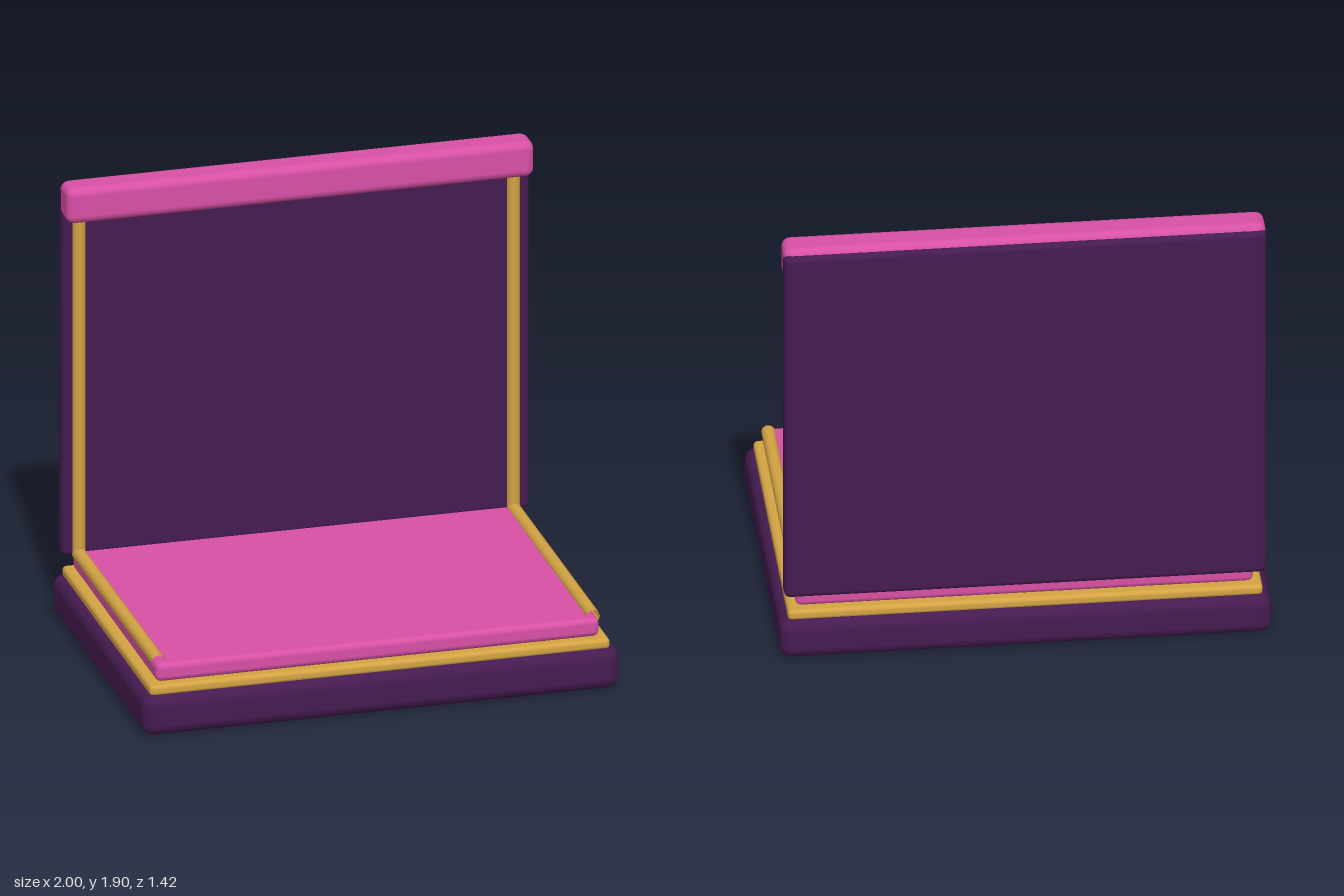
import * as THREE from 'three';
import { RoundedBoxGeometry } from 'three/addons/geometries/RoundedBoxGeometry.js';

const purple = new THREE.MeshStandardMaterial({ color: 0x451b50 });
const pink = new THREE.MeshStandardMaterial({ color: 0xd850a5 });
const gold = new THREE.MeshStandardMaterial({ color: 0xd4a443, side: THREE.DoubleSide });

// Rounded slab given by its half width and its y and z ranges
function slab(name, halfX, [y0, y1], [z0, z1], radius, material) {
  const geometry = new RoundedBoxGeometry(halfX * 2, y1 - y0, z1 - z0, 2, radius);
  const mesh = new THREE.Mesh(geometry, material);
  mesh.position.set(0, (y0 + y1) / 2, (z0 + z1) / 2);
  mesh.name = name;
  return mesh;
}

// Thin open rod between two points
function rod(name, a, b) {
  const path = new THREE.LineCurve3(new THREE.Vector3(...a), new THREE.Vector3(...b));
  const mesh = new THREE.Mesh(new THREE.TubeGeometry(path, 1, 0.028, 10), gold);
  mesh.name = name;
  return mesh;
}

export function createModel() {
  const model = new THREE.Group();
  model.name = 'stage';

  // Stepped platform
  model.add(
    slab('base', 1, [0, 0.175], [-0.71, 0.71], 0.05, purple),
    slab('baseTrim', 0.965, [0.165, 0.212], [-0.675, 0.675], 0.018, gold),
    slab('floor', 0.93, [0.21, 0.29], [-0.64, 0.64], 0.025, pink),
  );

  // Back wall and the valance along its top
  model.add(
    slab('backPanel', 0.98, [0.273, 1.88], [-0.68, -0.605], 0.025, purple),
    slab('valance', 0.98, [1.75, 1.905], [-0.66, -0.525], 0.035, pink),
  );

  // Trim rods up the wall and along the floor on both sides
  for (const [side, s] of [['left', 1], ['right', -1]]) {
    const x = s * 0.911;
    model.add(
      rod(side + 'WallRod', [x, 0.283, -0.612], [x, 1.82, -0.612]),
      rod(side + 'FloorRod', [x, 0.283, -0.612], [x, 0.289, 0.607]),
    );
  }
  return model;
}
